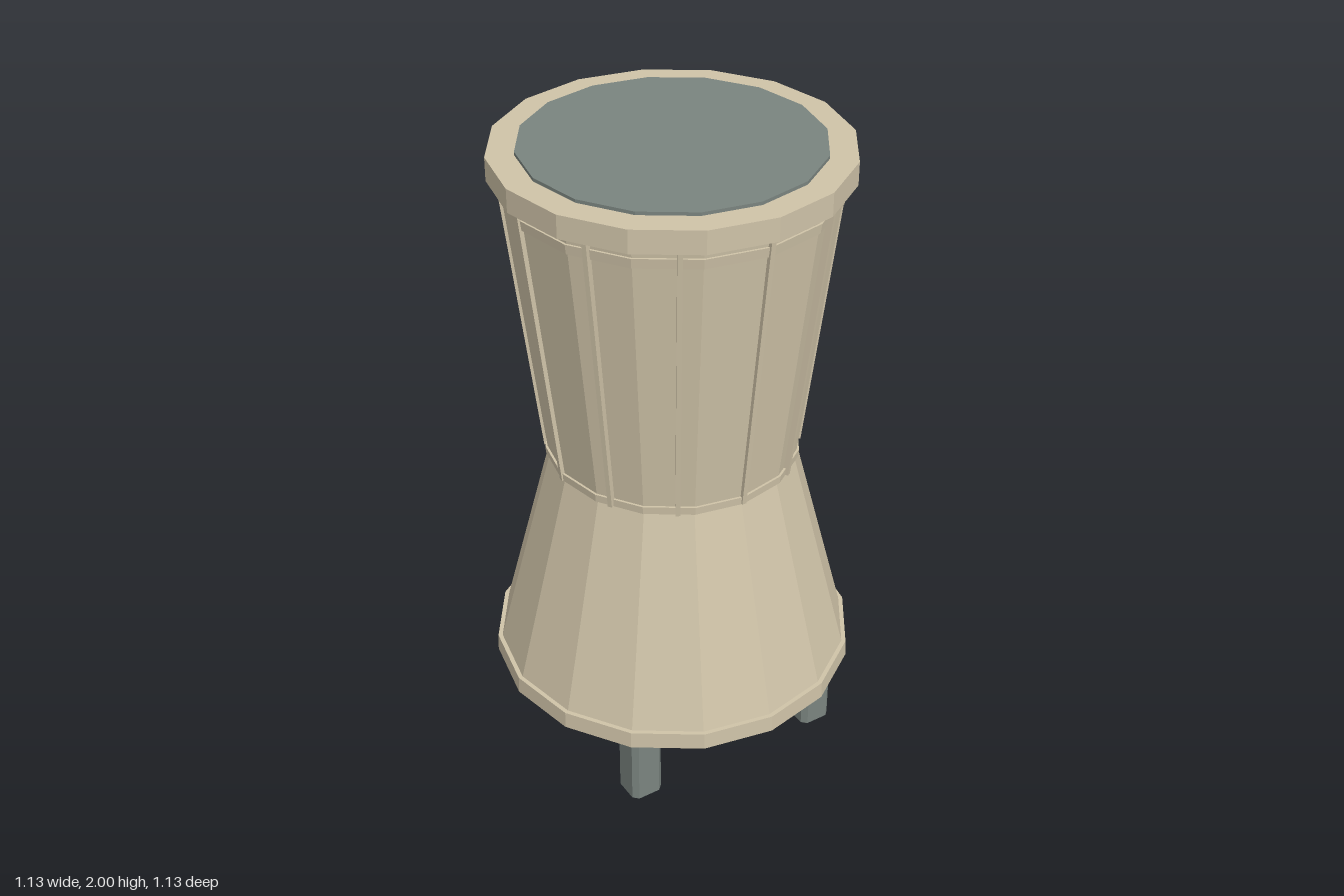
import * as THREE from 'three';

const SIDES = 16;
const RIBS = 12;

export function createModel() {
  const group = new THREE.Group();
  const tan = new THREE.MeshStandardMaterial({ color: 0xcfc3a8, flatShading: true });
  tan.name = 'tan';
  const grey = new THREE.MeshStandardMaterial({ color: 0x7a847f, flatShading: true });
  grey.name = 'slate grey';

  function add(name, geometry, material) {
    const mesh = new THREE.Mesh(geometry, material);
    mesh.name = name;
    group.add(mesh);
    return mesh;
  }

  // Straight or tapered ring of the body, from height y0 to y1
  function tier(name, y0, y1, r0, r1, material = tan) {
    const geometry = new THREE.CylinderGeometry(r1, r0, y1 - y0, SIDES);
    geometry.translate(0, (y0 + y1) / 2, 0);
    return add(name, geometry, material);
  }

  // Body: flared base, waist and widening upper drum
  tier('baseBand', 0.27, 0.325, 0.565, 0.563);
  tier('lowerBody', 0.3, 1.01, 0.556, 0.372);
  tier('upperBody', 1.01, 1.93, 0.376, 0.482);
  tier('waistRing', 1.01, 1.035, 0.384, 0.386);
  tier('upperRing', 1.86, 1.89, 0.48, 0.484);
  tier('topRim', 1.92, 1.99, 0.515, 0.515);
  tier('topPlate', 1.98, 2.0, 0.434, 0.434, grey);

  // Slim ribs that follow the slope of the upper drum
  const low = new THREE.Vector2(0.377, 1.012);
  const high = new THREE.Vector2(0.483, 1.925);
  const slope = Math.atan2(high.x - low.x, high.y - low.y);
  const ribGeometry = new THREE.BoxGeometry(0.014, low.distanceTo(high), 0.02);
  ribGeometry.rotateX(slope);
  ribGeometry.translate(0, (low.y + high.y) / 2, (low.x + high.x) / 2);
  for (let i = 0; i < RIBS; i++) {
    add('rib', ribGeometry, tan).rotation.y = (i / RIBS) * Math.PI * 2;
  }

  // Square legs with chamfered edges
  const a = 0.042, c = 0.01;
  const section = new THREE.Shape([
    [a, -a + c], [a, a - c], [a - c, a], [-a + c, a],
    [-a, a - c], [-a, -a + c], [-a + c, -a], [a - c, -a],
  ].map(([x, y]) => new THREE.Vector2(x, y)));
  const legGeometry = new THREE.ExtrudeGeometry(section, {
    depth: 0.27, bevelEnabled: true, bevelThickness: 0.01, bevelSize: 0.01, bevelSegments: 1,
  });
  legGeometry.rotateX(-Math.PI / 2);
  legGeometry.translate(0, 0.01, 0);
  for (const x of [-0.32, 0.32]) {
    for (const z of [-0.32, 0.32]) {
      add('leg', legGeometry, grey).position.set(x, 0, z);
    }
  }

  return group;
}
